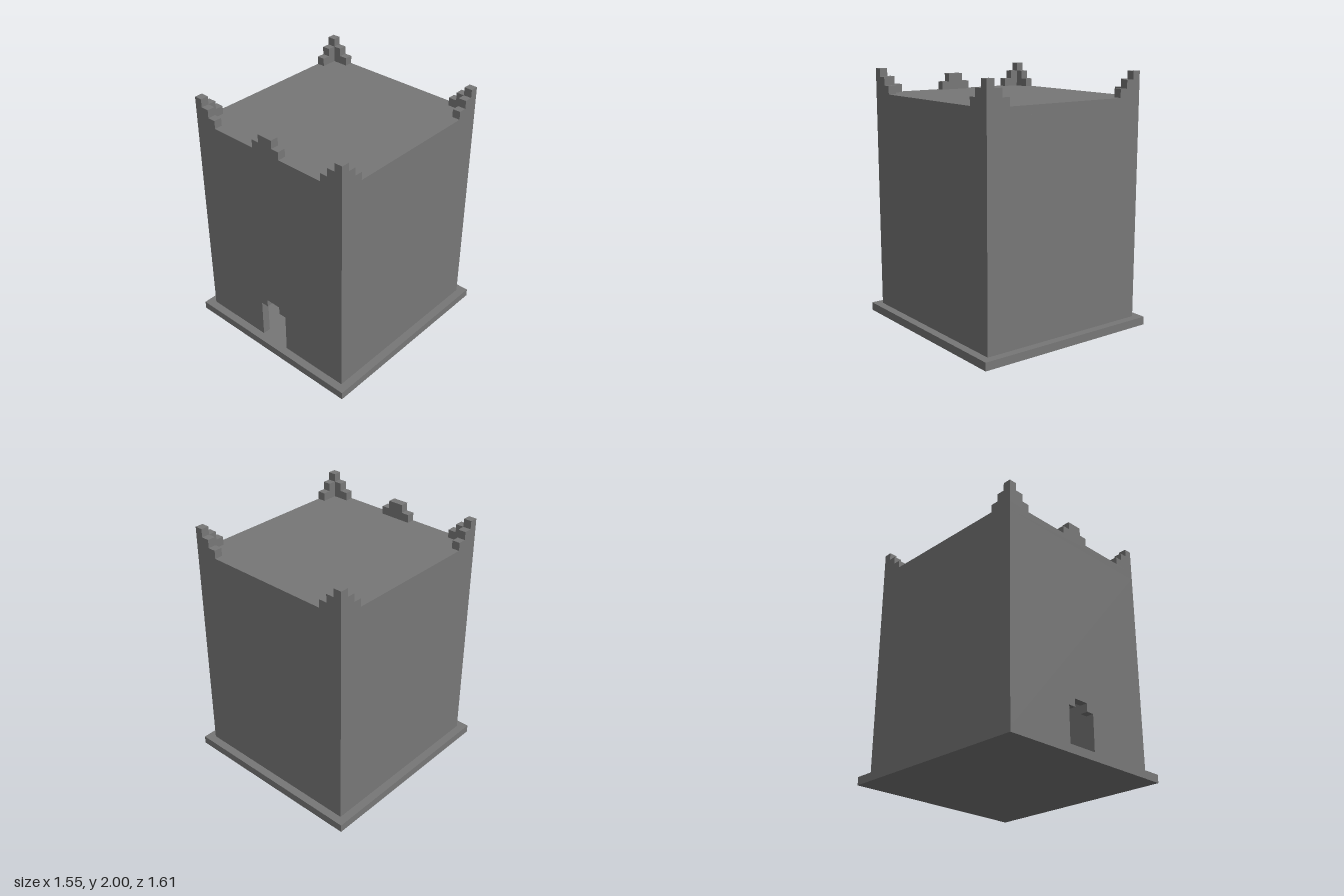
import * as THREE from 'three';

const U = 2 / 31; // one block

export function createModel() {
  const tower = new THREE.Group();
  tower.name = 'tower';
  const stone = new THREE.MeshStandardMaterial({ color: 0x777777 });
  stone.name = 'stone grey';

  const add = (name, geometry, parent = tower) => {
    const mesh = new THREE.Mesh(geometry, stone);
    mesh.name = name;
    parent.add(mesh);
    return mesh;
  };
  // box given by its limits, in blocks
  const block = (name, x0, x1, y0, y1, z0, z1, parent) => {
    const geometry = new THREE.BoxGeometry((x1 - x0) * U, (y1 - y0) * U, (z1 - z0) * U);
    geometry.translate((x0 + x1) / 2 * U, (y0 + y1) / 2 * U, (z0 + z1) / 2 * U);
    return add(name, geometry, parent);
  };

  // plinth, side and back walls, roof
  block('plinth', -12, 12, 0, 1, -12.5, 12.5);
  block('leftWall', 10, 11, 1, 27, -11.5, 10.5);
  block('rightWall', -11, -10, 1, 27, -11.5, 10.5);
  block('backWall', -10, 10, 1, 27, -11.5, -10.5);
  block('roof', -11, 11, 27, 28, -11.5, 11.5);

  // front wall with a stepped doorway open to the hall
  const outline = [
    [-11, 1], [-2, 1], [-2, 6], [-1, 6], [-1, 7], [1, 7],
    [1, 6], [2, 6], [2, 1], [11, 1], [11, 27], [-11, 27],
  ];
  const wall = new THREE.Shape(outline.map(([x, y]) => new THREE.Vector2(x * U, y * U)));
  const front = new THREE.ExtrudeGeometry(wall, { depth: U, bevelEnabled: false });
  front.translate(0, 0, 10.5 * U);
  add('frontWall', front);

  // steps deep in the hall, with raised sides
  const stairs = new THREE.Group();
  stairs.name = 'innerStairs';
  tower.add(stairs);
  for (let k = 0; k < 6; k++) {
    const z = -3 - k;
    block('stairTread', -1, 1, 1, 2 + k, z - 1, z, stairs);
    for (const s of [-1, 1]) block('stairSide', s * 1.5 - 0.5, s * 1.5 + 0.5, 1, 3 + k, z - 1, z, stairs);
  }

  // corner battlements stepping down along both walls
  for (const sx of [-1, 1]) {
    for (const sz of [-1, 1]) {
      const corner = new THREE.Group();
      corner.name = 'cornerBattlement';
      tower.add(corner);
      for (let i = 0; i < 3; i++) {
        const x = sx * (10.5 - i), z = sz * (11 - i);
        block('merlon', x - 0.5, x + 0.5, 28, 31 - i, sz * 11 - 0.5, sz * 11 + 0.5, corner);
        if (i > 0) block('merlon', sx * 10.5 - 0.5, sx * 10.5 + 0.5, 28, 31 - i, z - 0.5, z + 0.5, corner);
      }
    }
  }

  // stepped crest over the doorway
  block('crestBase', -2, 2, 28, 29, 10.5, 11.5);
  block('crestTop', -1, 1, 29, 30, 10.5, 11.5);

  return tower;
}
